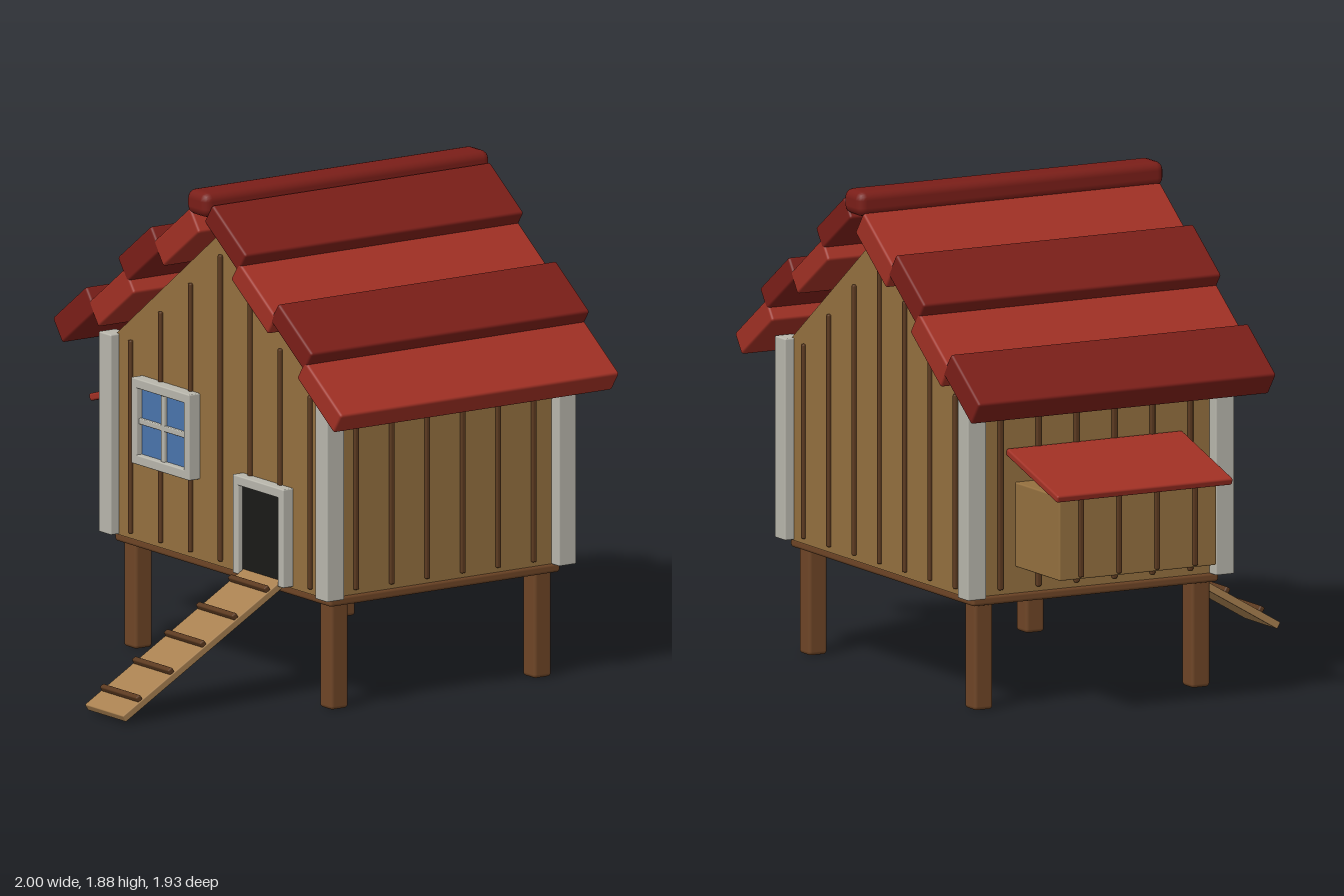
import * as THREE from 'three';
import { RoundedBoxGeometry } from 'three/addons/geometries/RoundedBoxGeometry.js';

const paint = (color) => new THREE.MeshStandardMaterial({ color });
const MAT = {
  wall: paint(0x94703f), batten: paint(0x5c3a20), leg: paint(0x6e4526), ramp: paint(0xa88050),
  red: paint(0xa03024), darkRed: paint(0x7a1e18), trim: paint(0xb8b6ac),
  glass: paint(0x4a74ac), dark: paint(0x1a1a18),
};
const CX = 0.08, CZ = -0.305;             // centre of the house
const HALF_W = 0.69, HALF_D = 0.53;       // half size of the walls
const FLOOR = 0.43, EAVE = 1.185, APEX = 1.705;

export function createModel() {
  const model = new THREE.Group();
  model.name = 'chickenCoop';

  // Softly bevelled box, placed by its centre
  function box(parent, name, mat, size, pos, bevel = 0.008, rotZ = 0) {
    const r = Math.min(bevel, Math.min(...size) * 0.45);
    const mesh = new THREE.Mesh(new RoundedBoxGeometry(...size, 2, r), mat);
    mesh.name = name;
    mesh.position.set(...pos);
    mesh.rotation.z = rotZ;
    parent.add(mesh);
    return mesh;
  }
  function group(name) {
    const g = new THREE.Group();
    g.name = name;
    model.add(g);
    return g;
  }

  // Gabled body
  const gable = new THREE.Shape([
    [-HALF_W, FLOOR], [HALF_W, FLOOR], [HALF_W, EAVE], [0, APEX], [-HALF_W, EAVE],
  ].map(([x, y]) => new THREE.Vector2(x, y)));
  const walls = new THREE.Mesh(
    new THREE.ExtrudeGeometry(gable, { depth: HALF_D * 2, bevelEnabled: false }), MAT.wall);
  walls.name = 'walls';
  walls.position.set(CX, 0, CZ - HALF_D);
  model.add(walls);

  // Floor, legs and corner posts
  box(model, 'floor', MAT.leg, [1.395, 0.036, 1.05], [CX, 0.418, CZ], 0.012);
  for (const sx of [-1, 1]) for (const sz of [-1, 1]) {
    box(model, 'leg', MAT.leg, [0.082, 0.41, 0.08], [CX + sx * 0.632, 0.205, CZ + sz * 0.463], 0.014);
    box(model, 'cornerPost', MAT.trim, [0.08, 0.765, 0.08],
      [CX + sx * 0.698, 0.815, CZ + sz * 0.529], 0.006);
  }

  // Battens on the gable walls and the side walls
  const battens = group('wallBattens');
  for (const s of [-1, 1]) {
    for (let i = -3; i <= 3; i++) {
      const top = 1.62 - Math.abs(i) * 0.144, h = top - 0.45;
      box(battens, 'gableBatten', MAT.batten, [0.02, h, 0.024],
        [CX + i * 0.193, 0.45 + h / 2, CZ + s * HALF_D], 0.006);
    }
    for (let i = 0; i < 6; i++) {
      box(battens, 'sideBatten', MAT.batten, [0.024, 0.735, 0.02],
        [CX + s * HALF_W, 0.82, CZ + (i - 2.5) * 0.162], 0.006);
    }
  }

  // Roof planks, alternately raised; u runs along the slope from the first plank
  function roofSide(name, rotZ, first, step, lift, thickness, firstRaised) {
    const roof = group(name);
    const u = new THREE.Vector2(Math.cos(rotZ), Math.sin(rotZ));
    const n = new THREE.Vector2(-u.y, u.x);
    for (let i = 0; i < 4; i++) {
      const raised = (i % 2 === 0) === firstRaised;
      const p = u.clone().multiplyScalar(first + i * step)
        .addScaledVector(n, lift + (raised ? 0.055 : 0));
      box(roof, 'roofPlank', raised ? MAT.darkRed : MAT.red,
        [raised ? 0.268 : 0.292, thickness, 1.27], [p.x, p.y, -0.31], 0.01, rotZ);
    }
  }
  roofSide('roofOverNestBox', 0.634, 0.154, 0.26, 1.388, 0.105, true);
  roofSide('roofOverDoor', -0.612, -0.79, 0.26, 1.496, 0.09, true);
  box(model, 'ridgeCap', MAT.darkRed, [0.135, 0.096, 1.305], [CX, 1.829, -0.308], 0.034);

  // Rectangular frame made of four bars on the front wall
  function frame(parent, cx, cy, w, h, bar, z, bottom) {
    for (const s of [-1, 1])
      box(parent, 'frameSide', MAT.trim, [bar, h, 0.06], [cx + s * (w - bar) / 2, cy, z], 0.005);
    for (const s of bottom ? [-1, 1] : [1])
      box(parent, 'frameRail', MAT.trim, [w, bar, 0.06], [cx, cy + s * (h - bar) / 2, z], 0.005);
  }

  // Window with four panes
  const win = group('window');
  frame(win, -0.246, 0.901, 0.376, 0.328, 0.037, 0.244, true);
  box(win, 'glass', MAT.glass, [0.33, 0.28, 0.03], [-0.246, 0.901, 0.234], 0.002);
  box(win, 'muntin', MAT.trim, [0.022, 0.28, 0.03], [-0.246, 0.901, 0.248], 0.004);
  box(win, 'muntin', MAT.trim, [0.33, 0.022, 0.03], [-0.246, 0.901, 0.248], 0.004);

  // Door opening
  const door = group('door');
  frame(door, 0.379, 0.625, 0.328, 0.376, 0.037, 0.24, false);
  box(door, 'opening', MAT.dark, [0.27, 0.345, 0.03], [0.379, 0.617, 0.234], 0.002);

  // Ramp with cleats, built flat along z and tilted
  const ramp = group('ramp');
  const dy = -0.425, dz = 0.725, length = Math.hypot(dy, dz);
  ramp.position.set(0.379, 0.233, 0.602);
  ramp.rotation.x = Math.atan2(-dy, dz);
  box(ramp, 'rampBoard', MAT.ramp, [0.248, 0.028, length], [0, 0, 0], 0.004);
  for (let i = 0; i < 5; i++)
    box(ramp, 'cleat', MAT.batten, [0.24, 0.024, 0.022], [0, 0.022, -0.352 + i * 0.169], 0.006);

  // Nest box with sloping lid
  const nest = group('nestBox');
  box(nest, 'nestBody', MAT.wall, [0.35, 0.32, 0.67], [-0.772, 0.695, -0.31], 0.006);
  for (let i = 0; i < 4; i++)
    box(nest, 'nestBatten', MAT.batten, [0.02, 0.305, 0.02],
      [-0.946, 0.695, -0.31 + (i - 1.5) * 0.162], 0.005);
  box(nest, 'nestLid', MAT.red, [0.41, 0.028, 0.75], [-0.805, 0.915, -0.31], 0.008, 0.295);

  return model;
}
